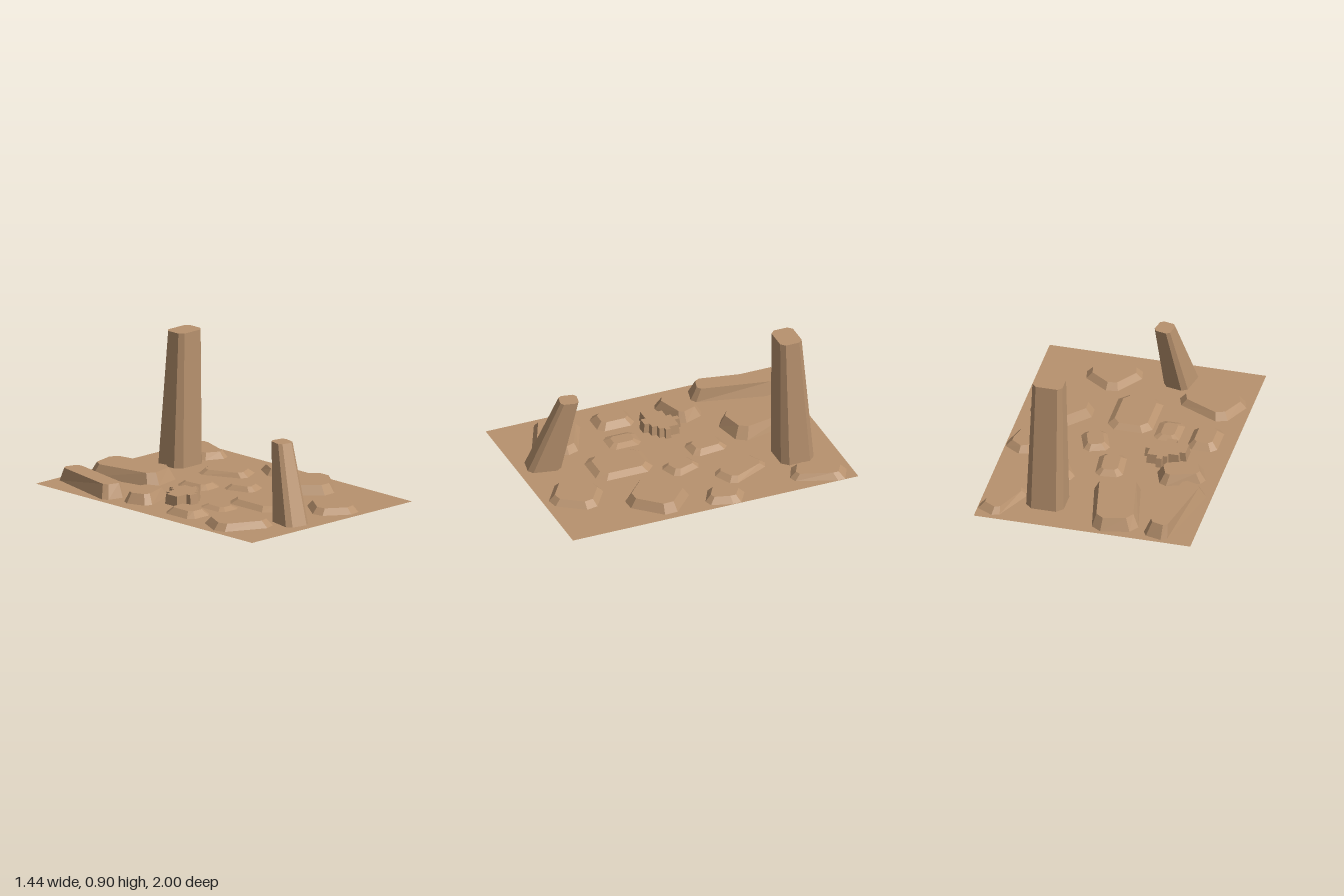
import * as THREE from 'three';

const EDGE = 0.715;

// Plan outlines are [x, z] points
const toShape = (pts) => new THREE.Shape(pts.map(([x, z]) => new THREE.Vector2(x, -z)));

// Turned rectangle with cut corners, kept inside the sheet's right edge
function outline(cx, cz, hx, hz, turn = 0) {
  const cut = 0.37 * Math.min(hx, hz);
  const pts = [];
  for (const [sx, sz] of [[1, 1], [1, -1], [-1, -1], [-1, 1]]) {
    const a = [sx * (hx - cut), sz * hz], b = [sx * hx, sz * (hz - cut)];
    pts.push(...(sx === sz ? [a, b] : [b, a]));
  }
  const c = Math.cos(turn), s = Math.sin(turn);
  return pts.map(([x, z]) => [Math.min(EDGE, cx + x * c - z * s), cz + x * s + z * c]);
}

// Shrinks an outline by a fixed margin on each axis
function inset(pts, d) {
  const fit = (i) => {
    const v = pts.map((p) => p[i]);
    const lo = Math.min(...v), hi = Math.max(...v);
    return { mid: (lo + hi) / 2, k: 1 - (2 * d) / (hi - lo) };
  };
  const a = fit(0), b = fit(1);
  return pts.map(([x, z]) => [a.mid + (x - a.mid) * a.k, b.mid + (z - b.mid) * b.k]);
}

// Hollow raised shell: sloped walls from base to top outline, closed by a flat cap
function shell(base, top, h) {
  const pos = [];
  const put = ([x, z], y) => pos.push(x, y, z);
  const n = base.length;
  const contour = top.map(([x, z]) => new THREE.Vector2(x, -z));
  const ccw = !THREE.ShapeUtils.isClockWise(contour);
  for (let i = 0; i < n; i++) {
    const j = (i + 1) % n;
    const [p, q] = ccw ? [i, j] : [j, i];
    put(base[p], 0); put(base[q], 0); put(top[q], h);
    put(base[p], 0); put(top[q], h); put(top[p], h);
  }
  for (const [a, b, c] of THREE.ShapeUtils.triangulateShape(contour, [])) {
    const area = new THREE.Vector2().subVectors(contour[b], contour[a])
      .cross(new THREE.Vector2().subVectors(contour[c], contour[a]));
    for (const i of area > 0 ? [a, b, c] : [a, c, b]) put(top[i], h);
  }
  const g = new THREE.BufferGeometry();
  g.setAttribute('position', new THREE.Float32BufferAttribute(pos, 3));
  g.computeVertexNormals();
  return g;
}

export function createModel() {
  const group = new THREE.Group();
  const sand = new THREE.MeshStandardMaterial({ color: 0xb8926e, side: THREE.DoubleSide });
  sand.name = 'sandstone';
  const holes = [];
  const add = (name, base, top, h) => {
    const m = new THREE.Mesh(shell(base, top, h), sand);
    m.name = name;
    group.add(m);
    holes.push(base);
  };

  // Flat-topped mounds: name, height, centre x and z, half width, half depth, turn
  const mounds = [
    ['backLeftRidge', 0.09, -0.535, -0.67, 0.085, 0.3, 0.24],
    ['backMiddleRidge', 0.08, -0.15, -0.69, 0.15, 0.27, -0.21],
    ['backCornerMound', 0.04, 0.59, -0.775, 0.1, 0.18, 0.45],
    ['leftMound', 0.065, -0.47, -0.24, 0.15, 0.1, -0.35],
    ['middleMound', 0.03, 0, -0.235, 0.09, 0.125, -0.1],
    ['rightBackMound', 0.03, 0.345, -0.33, 0.1, 0.17, -0.45],
    ['rightEdgeMound', 0.04, 0.615, -0.11, 0.11, 0.12, 0.5],
    ['smallMound', 0.03, 0.165, 0.01, 0.085, 0.11, -0.35],
    ['leftLowMound', 0.04, -0.52, 0.2, 0.1, 0.13, 0],
    ['shallowMound', 0.02, -0.27, 0.235, 0.085, 0.11, 0],
    ['frontMiddleMound', 0.03, -0.01, 0.37, 0.15, 0.2, 0],
    ['rightMound', 0.06, 0.46, 0.3, 0.17, 0.18, 0.75],
    ['frontLeftMound', 0.045, -0.465, 0.615, 0.2, 0.15, 0.45],
    ['frontRightMound', 0.04, 0.23, 0.77, 0.15, 0.16, 0.6],
  ];
  for (const [name, h, ...plan] of mounds) {
    const base = outline(...plan);
    add(name, base, inset(base, 0.04), h);
  }

  // Steep stepped plateau: left and right limits of each row, back to front
  const rows = [[-0.32, -0.28], [-0.35, -0.21], [-0.42, -0.21], [-0.46, -0.18],
    [-0.46, -0.21], [-0.46, -0.25], [-0.37, -0.3]];
  const side = (k) => rows.flatMap((r, i) => [0, 1].map((e) => [r[k], -0.18 + 0.036 * (i + e)]));
  const steps = [...side(0), ...side(1).reverse()]
    .filter(([x, z], i, all) => {
      const [px] = all[(i + all.length - 1) % all.length], [nx] = all[(i + 1) % all.length];
      return px !== x || nx !== x;
    });
  add('steppedPlateau', steps, inset(steps, 0.008), 0.065);

  // Tall pillar, upright at the front and tapering at the back
  add('tallPillar', outline(0.3, -0.715, 0.125, 0.115), outline(0.3, -0.675, 0.1, 0.075), 0.9);

  // Short leaning pillar
  add('leaningPillar', outline(-0.2, 0.82, 0.085, 0.11, 0.2), outline(-0.13, 0.67, 0.055, 0.06, 0.2), 0.5);

  // Ground sheet, open beneath every raised part
  const plan = toShape([[-0.72, 1], [0.72, 1], [0.72, -1], [-0.72, -1]]);
  plan.holes = holes.map(toShape);
  const ground = new THREE.Mesh(new THREE.ShapeGeometry(plan).rotateX(-Math.PI / 2), sand);
  ground.name = 'ground';
  group.add(ground);
  return group;
}
